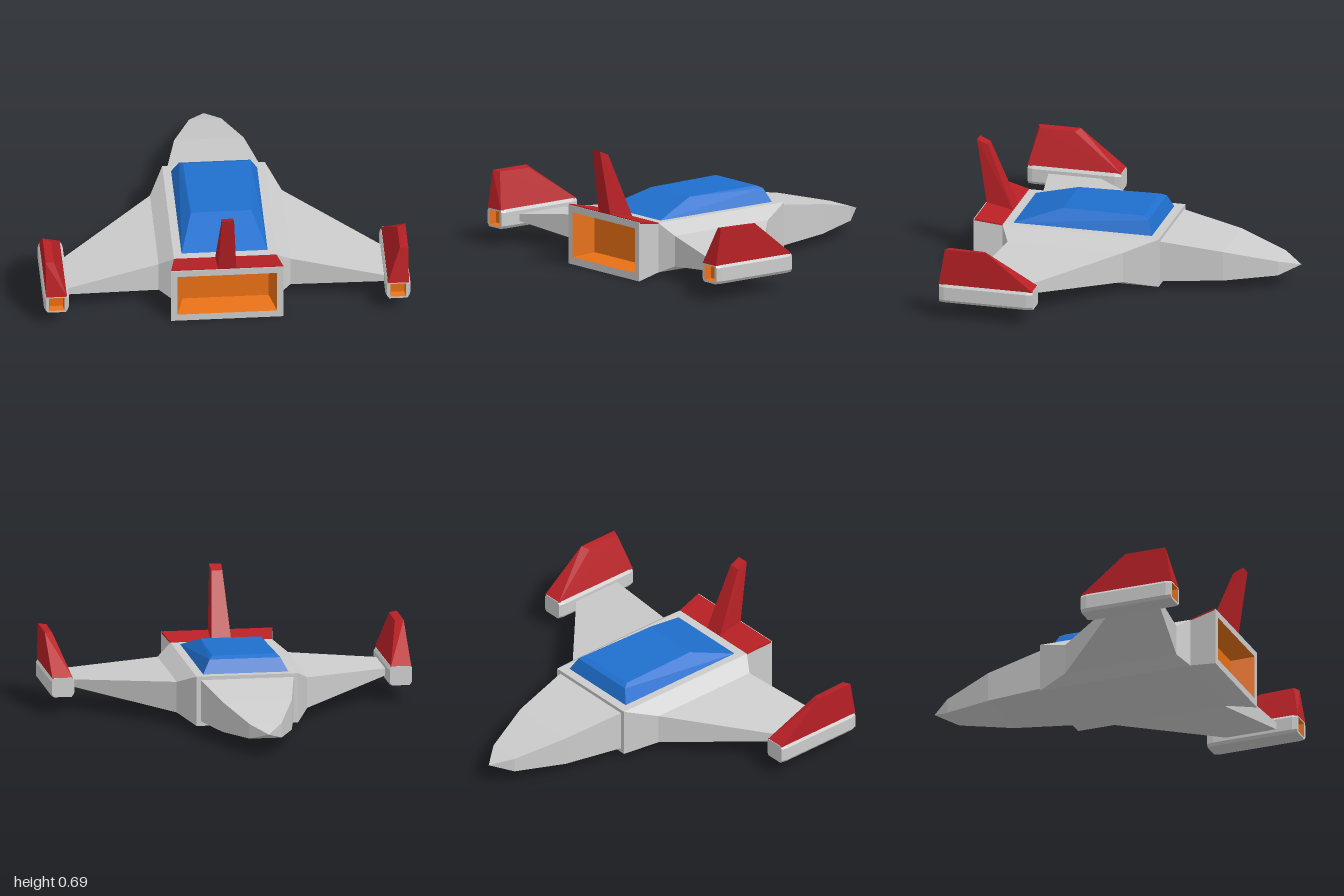
import * as THREE from 'three';
import { ConvexGeometry } from 'three/addons/geometries/ConvexGeometry.js';

const paint = (color) => new THREE.MeshStandardMaterial({ color, flatShading: true });
const grey = paint(0xcccccc), red = paint(0xb82025), blue = paint(0x1f6fce), orange = paint(0xe87015);

const V = (x, y, z) => new THREE.Vector3(x, y, z);

// Rectangular section facing z, mirrored about x = 0
const rect = (hw, y0, y1, z) => [V(hw, y0, z), V(hw, y1, z), V(-hw, y1, z), V(-hw, y0, z)];

// Rectangle with cut corners facing z, counter-clockwise from +z
function chamfered(cx, cy, hw, hh, c, z) {
  return [
    [hw, -hh + c], [hw, hh - c], [hw - c * 0.7, hh], [-hw + c * 0.7, hh],
    [-hw, hh - c], [-hw, -hh + c], [-hw + c * 0.7, -hh], [hw - c * 0.7, -hh],
  ].map(([x, y]) => V(cx + x, cy + y, z));
}

// Skin joining successive sections, with optional flat ends
function loft(rings, startCap, endCap) {
  const out = [];
  const tri = (a, b, c) => {
    const area = b.clone().sub(a).cross(c.clone().sub(a)).length();
    if (area > 1e-8) for (const p of [a, b, c]) out.push(p.x, p.y, p.z);
  };
  const n = rings[0].length;
  for (let k = 0; k < rings.length - 1; k++) {
    const a = rings[k], b = rings[k + 1];
    for (let i = 0; i < n; i++) {
      const j = (i + 1) % n;
      tri(a[i], a[j], b[j]);
      tri(a[i], b[j], b[i]);
    }
  }
  const first = rings[0], last = rings[rings.length - 1];
  for (let i = 1; i < n - 1; i++) {
    if (startCap) tri(first[0], first[i + 1], first[i]);
    if (endCap) tri(last[0], last[i], last[i + 1]);
  }
  const g = new THREE.BufferGeometry();
  g.setAttribute('position', new THREE.Float32BufferAttribute(out, 3));
  g.computeVertexNormals();
  return g;
}

export function createModel() {
  const model = new THREE.Group();
  model.name = 'spacecraft';
  const add = (name, geometry, material, parent = model) => {
    const m = new THREE.Mesh(geometry, material);
    m.name = name;
    parent.add(m);
  };
  const solid = (name, points, material, parent) => add(name, new ConvexGeometry(points), material, parent);

  // Hull flaring out to the engine rim
  add('fuselage', loft([
    rect(0.28, 0.025, 0.3, -0.18), rect(0.28, 0.025, 0.3, 0.7),
    rect(0.307, 0, 0.328, 0.857), rect(0.272, 0.04, 0.29, 0.857),
  ], true, false), grey);
  add('mainEngine', loft([rect(0.272, 0.04, 0.29, 0.857), rect(0.235, 0.057, 0.27, 0.73)], false, true), orange);

  // Tapered nose with a pyramid tip
  add('nose', loft([
    rect(0.255, 0.05, 0.28, -0.18), rect(0.19, 0.062, 0.228, -0.52), rect(0.088, 0.082, 0.163, -0.8),
    rect(0, 0.125, 0.125, -0.91),
  ].reverse(), false, true), grey);

  // Canopy
  solid('canopy', [
    ...[-1, 1].flatMap((s) => [
      V(s * 0.235, 0.3, -0.13), V(s * 0.235, 0.3, 0.65),
      V(s * 0.195, 0.375, -0.1), V(s * 0.175, 0.39, -0.07), V(s * 0.165, 0.386, 0.39),
    ]),
  ], blue);

  // Red deck above the engine and the central tail fin
  solid('engineDeck', [-1, 1].flatMap((s) => [
    V(s * 0.28, 0.295, 0.7), V(s * 0.28, 0.302, 0.7),
    V(s * 0.306, 0.32, 0.85), V(s * 0.306, 0.331, 0.85),
  ]), red);
  solid('tailFin', [-1, 1].flatMap((s) => [
    V(s * 0.055, 0.3, 0.7), V(s * 0.05, 0.32, 0.85),
    V(s * 0.03, 0.66, 0.85), V(s * 0.033, 0.685, 0.91),
  ]), red);

  for (const s of [1, -1]) {
    const side = new THREE.Group();
    side.name = s > 0 ? 'leftWingAssembly' : 'rightWingAssembly';
    model.add(side);

    // Sloped fairing between hull and wing
    const root = [V(s * 0.36, 0.065, 0), V(s * 0.36, 0.235, 0), V(s * 0.36, 0.065, 0.65), V(s * 0.36, 0.235, 0.65)];
    solid('wingFairing', [
      ...root,
      V(s * 0.28, 0.025, -0.18), V(s * 0.28, 0.3, -0.18), V(s * 0.28, 0.025, 0.7), V(s * 0.28, 0.3, 0.7),
    ], grey, side);

    // Swept wing thinning towards the pod
    solid('wing', [
      ...root,
      V(s * 0.87, 0.13, 0.46), V(s * 0.87, 0.168, 0.46), V(s * 0.87, 0.13, 0.75), V(s * 0.87, 0.168, 0.75),
    ], grey, side);

    // Wingtip pod with a recessed thruster
    const cx = s * 0.932, cy = 0.15;
    const rim = chamfered(cx, cy, 0.042, 0.042, 0, 0.868);
    add('wingtipPod', loft([
      chamfered(cx, cy, 0.06, 0.053, 0.016, 0.34), chamfered(cx, cy, 0.068, 0.053, 0.016, 0.375),
      chamfered(cx, cy, 0.068, 0.053, 0.016, 0.84), chamfered(cx, cy, 0.06, 0.053, 0.016, 0.868), rim,
    ], true, false), grey, side);
    add('wingtipThruster', loft([rim, chamfered(cx, cy, 0.036, 0.036, 0, 0.83)], false, true), orange, side);

    // Wingtip fin, upright outside and leaning inside
    solid('wingtipFin', [
      V(s * 0.877, 0.2, 0.34), V(s * 0.99, 0.2, 0.34), V(s * 0.875, 0.2, 0.87), V(s * 0.99, 0.2, 0.87),
      V(s * 0.945, 0.395, 0.62), V(s * 0.99, 0.404, 0.6),
      V(s * 0.945, 0.4, 0.82), V(s * 0.99, 0.404, 0.835),
    ], red, side);
  }
  return model;
}
